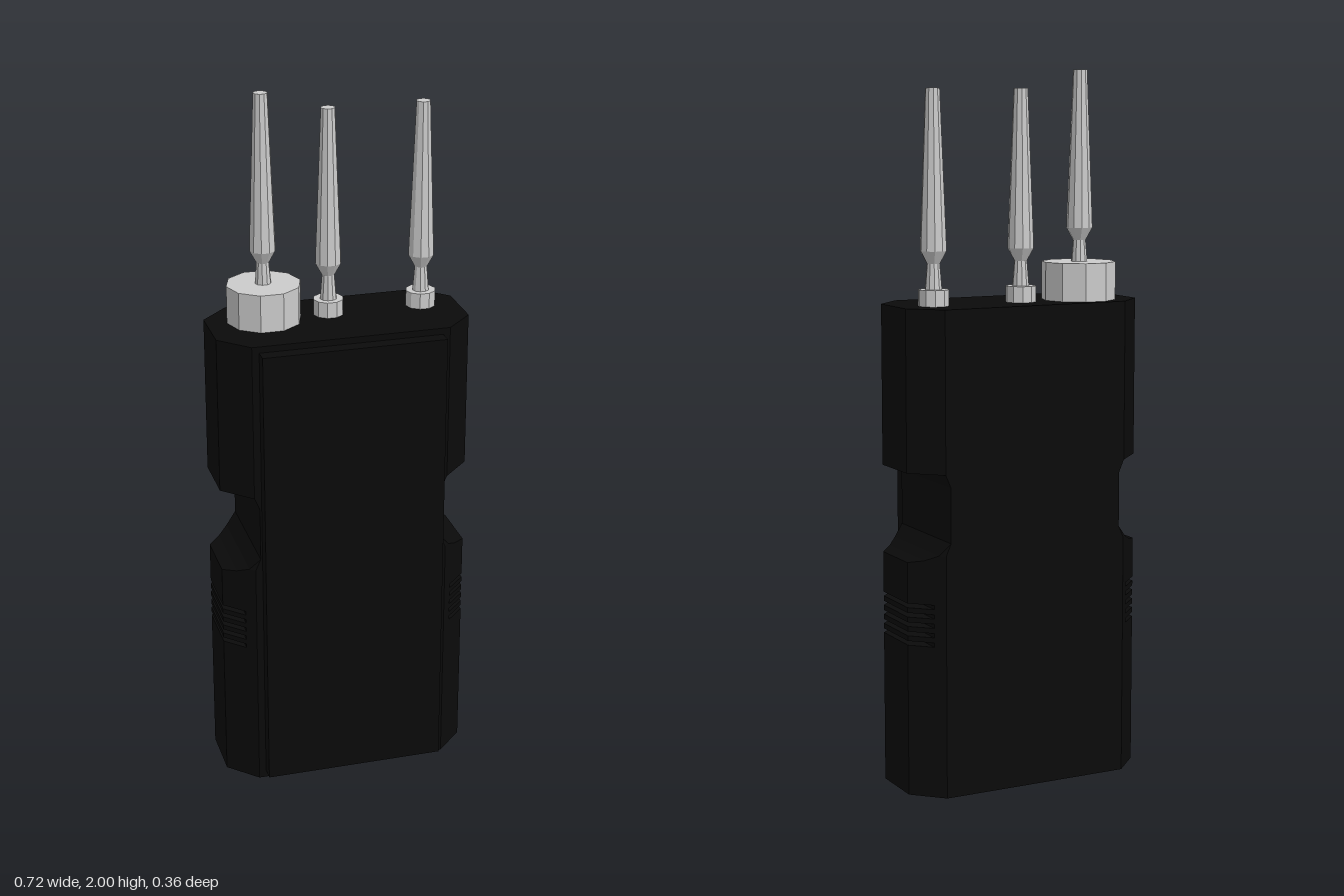
import * as THREE from 'three';

const black = new THREE.MeshStandardMaterial({ color: 0x0a0a0a, flatShading: true });
const grey = new THREE.MeshStandardMaterial({ color: 0xcccccc, flatShading: true });
const BACK = -0.18, FRONT = 0.14, CORNER = 0.28;

// Octagonal cross-section, narrowed to a half width w
function section(w, y) {
  const a = Math.min(w, CORNER), cut = Math.max(0, w - CORNER);
  const half = [[a, FRONT], [w, FRONT - cut], [w, BACK + cut], [a, BACK]];
  const mirrored = half.map(([x, z]) => [-x, z]).reverse();
  return [...half, ...mirrored].map(([x, z]) => [x, y, z]);
}

// Skin stacked cross-sections and cap both ends
function loft(profile) {
  const positions = [], index = [], n = 8;
  profile.forEach(([w, y]) => section(w, y).forEach(p => positions.push(...p)));
  for (let r = 0; r < profile.length - 1; r++) {
    for (let k = 0; k < n; k++) {
      const i = r * n + k, j = r * n + (k + 1) % n;
      index.push(i, j, j + n, i, j + n, i + n);
    }
  }
  const top = (profile.length - 1) * n;
  for (let k = 1; k < n - 1; k++) {
    index.push(0, k + 1, k, top, top + k, top + k + 1);
  }
  const geometry = new THREE.BufferGeometry();
  geometry.setAttribute('position', new THREE.Float32BufferAttribute(positions, 3));
  geometry.setIndex(index);
  geometry.computeVertexNormals();
  return geometry;
}

// Ten-sided turned part with a corner pointing along x
function turned(name, points, x, z) {
  const geometry = new THREE.LatheGeometry(
    points.map(([r, y]) => new THREE.Vector2(r, y)), 10, Math.PI / 10);
  const mesh = new THREE.Mesh(geometry, grey);
  mesh.name = name;
  mesh.position.set(x, 0, z);
  return mesh;
}

function antenna(x, z, lift) {
  const points = [[0, 1.39], [0.025, 1.39], [0.018, 1.475], [0.037, 1.51],
    [0.036, 1.54], [0.02, 1.948], [0, 1.948]];
  return turned('antenna', points.map(([r, y]) => [r, y + lift]), x, z);
}

function collar(name, r, top, x, z) {
  return turned(name, [[0, 1.36], [r, 1.36], [r, top], [0, top]], x, z);
}

export function createModel() {
  const model = new THREE.Group();
  model.name = 'handheldRadio';

  // Body with grip grooves and a hand-hold waist
  const profile = [[0.36, 0]];
  for (let i = 0; i < 5; i++) {
    const y = 0.429 + i * 0.0265;
    profile.push([0.36, y], [0.305, y], [0.305, y + 0.012], [0.36, y + 0.012]);
  }
  profile.push([0.36, 0.662], [0.325, 0.67], [0.295, 0.686], [0.265, 0.72],
    [0.265, 0.875], [0.28, 0.91], [0.36, 0.91], [0.36, 1.36]);
  const body = new THREE.Mesh(loft(profile), black);
  body.name = 'body';
  model.add(body);

  // Raised front panel
  const panel = new THREE.Mesh(new THREE.BoxGeometry(0.52, 1.32, 0.05), black);
  panel.name = 'frontPanel';
  panel.position.set(0, 0.682, 0.155);
  model.add(panel);

  // Knob with the tallest antenna
  model.add(collar('knob', 0.105, 1.467, -0.198, -0.058), antenna(-0.198, -0.062, 0.052));

  // Two shorter antennas on small collars
  for (const x of [-0.013, 0.256]) {
    model.add(collar('antennaCollar', 0.043, 1.405, x, -0.058), antenna(x, -0.058, 0));
  }
  return model;
}
